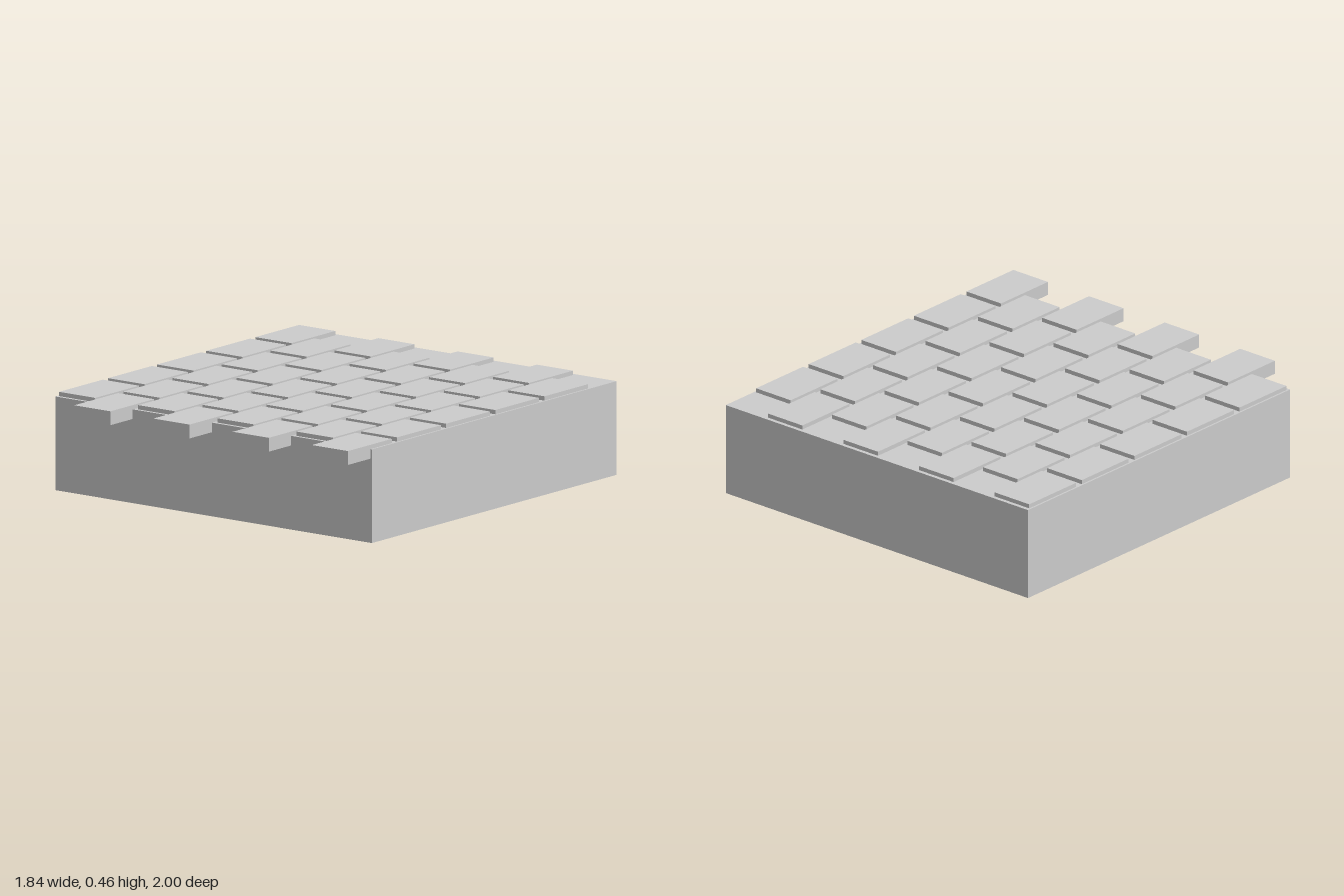
import * as THREE from 'three';

export function createModel() {
  const group = new THREE.Group();
  const material = new THREE.MeshStandardMaterial({ color: 0xcccccc, flatShading: true });

  // Solid foundation block
  const base = new THREE.Mesh(new THREE.BoxGeometry(1.836, 0.44, 1.833), material);
  base.name = 'foundationBlock';
  base.position.set(0, 0.22, -0.0835);
  group.add(base);

  // Paving bricks: eight columns, every second one shifted half a brick forward
  const columns = 8, rows = 5;
  const pitchX = 0.2297, pitchZ = 0.3675;
  const length = 0.328, bottom = 0.395, top = 0.46;
  const brick = new THREE.BoxGeometry(0.21, top - bottom, length);
  for (let c = 0; c < columns; c++) {
    const column = new THREE.Group();
    column.name = `brickColumn${c + 1}`;
    column.position.x = (c - (columns - 1) / 2) * pitchX;
    const startZ = c % 2 ? -0.798 : -0.981;
    for (let r = 0; r < rows; r++) {
      const mesh = new THREE.Mesh(brick, material);
      mesh.name = `pavingBrick${r + 1}`;
      mesh.position.set(0, (top + bottom) / 2, startZ + r * pitchZ + length / 2);
      column.add(mesh);
    }
    group.add(column);
  }
  return group;
}
